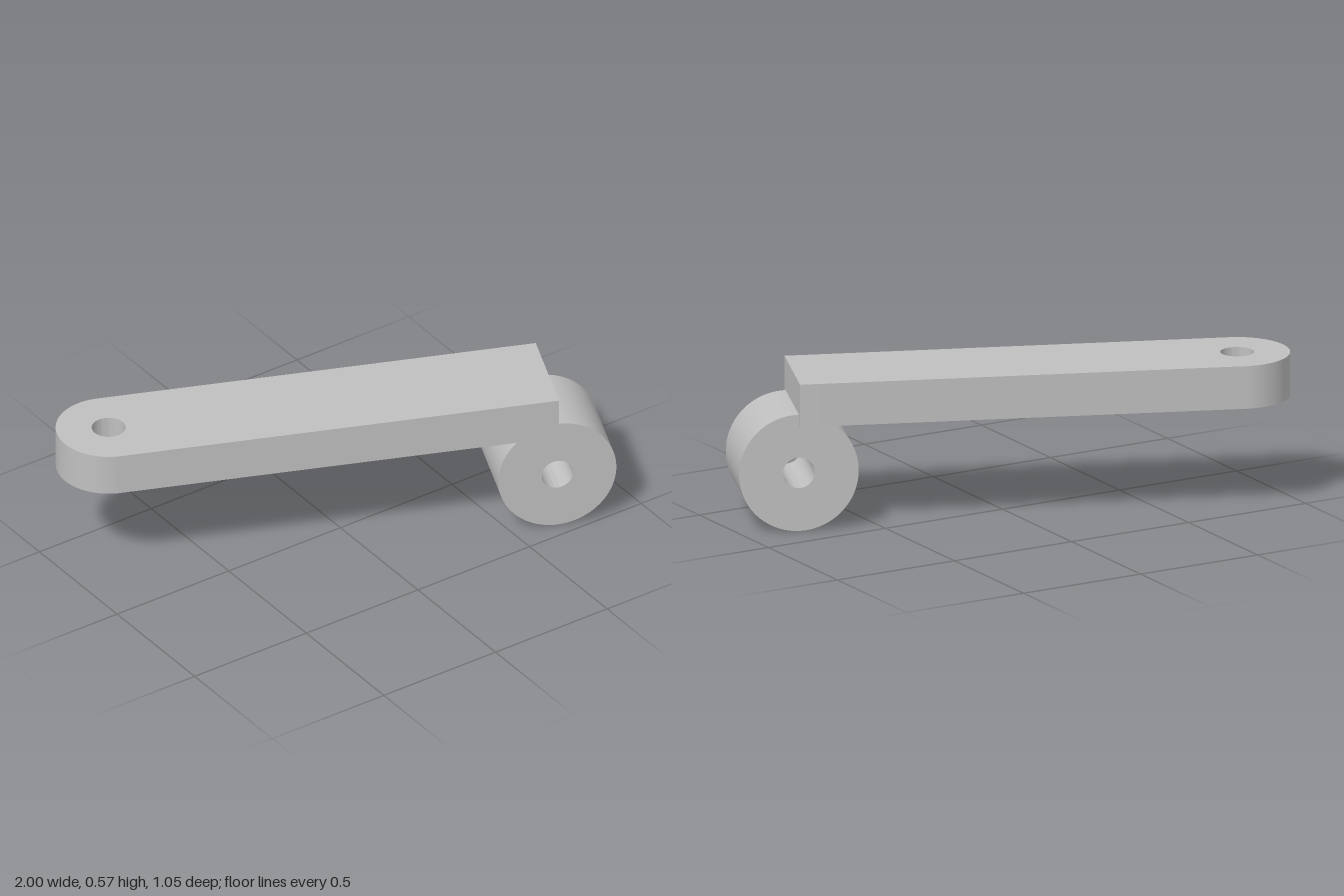
import * as THREE from 'three';
import { toCreasedNormals } from 'three/addons/utils/BufferGeometryUtils.js';

const ARM_LENGTH = 1.655; // pivot hole to square end
const ARM_RADIUS = 0.195; // half the arm width
const ARM_BOTTOM = 0.405;
const ARM_THICKNESS = 0.163;
const WHEEL_RADIUS = 0.2225;
const WHEEL_WIDTH = 0.33;

// Extrudes a shape with a round hole at its origin, keeping edges sharp
function extrudeWithHole(shape, holeRadius, depth) {
  const hole = new THREE.Path();
  hole.absarc(0, 0, holeRadius, 0, Math.PI * 2, true);
  shape.holes.push(hole);
  const geometry = new THREE.ExtrudeGeometry(shape, {
    depth, bevelEnabled: false, curveSegments: 64,
  });
  return toCreasedNormals(geometry, 0.5);
}

export function createModel() {
  const model = new THREE.Group();
  model.name = 'rollerArm';

  const grey = new THREE.MeshStandardMaterial({ color: 0xc0c0c0 });
  grey.name = 'light grey';

  // Flat arm: rounded around the pivot hole, square at the wheel end
  const armShape = new THREE.Shape();
  armShape.moveTo(ARM_LENGTH, -ARM_RADIUS);
  armShape.lineTo(ARM_LENGTH, ARM_RADIUS);
  armShape.lineTo(0, ARM_RADIUS);
  armShape.absarc(0, 0, ARM_RADIUS, Math.PI / 2, Math.PI * 1.5, false);
  armShape.closePath();
  const armGeometry = extrudeWithHole(armShape, 0.0625, ARM_THICKNESS);
  armGeometry.rotateX(-Math.PI / 2);
  const arm = new THREE.Mesh(armGeometry, grey);
  arm.name = 'arm';
  arm.position.y = ARM_BOTTOM;

  // Roller with an axle bore, set across the end of the arm
  const wheelShape = new THREE.Shape();
  wheelShape.absarc(0, 0, WHEEL_RADIUS, 0, Math.PI * 2, false);
  const wheelGeometry = extrudeWithHole(wheelShape, 0.059, WHEEL_WIDTH);
  wheelGeometry.translate(0, 0, -WHEEL_WIDTH / 2);
  const wheel = new THREE.Mesh(wheelGeometry, grey);
  wheel.name = 'wheel';
  wheel.position.set(ARM_LENGTH, WHEEL_RADIUS, 0);

  // The whole assembly is swung about the pivot hole
  const assembly = new THREE.Group();
  assembly.name = 'swungArm';
  assembly.add(arm, wheel);
  assembly.position.set(-0.805, 0, -0.335);
  assembly.rotation.y = -THREE.MathUtils.degToRad(22);
  model.add(assembly);

  return model;
}
